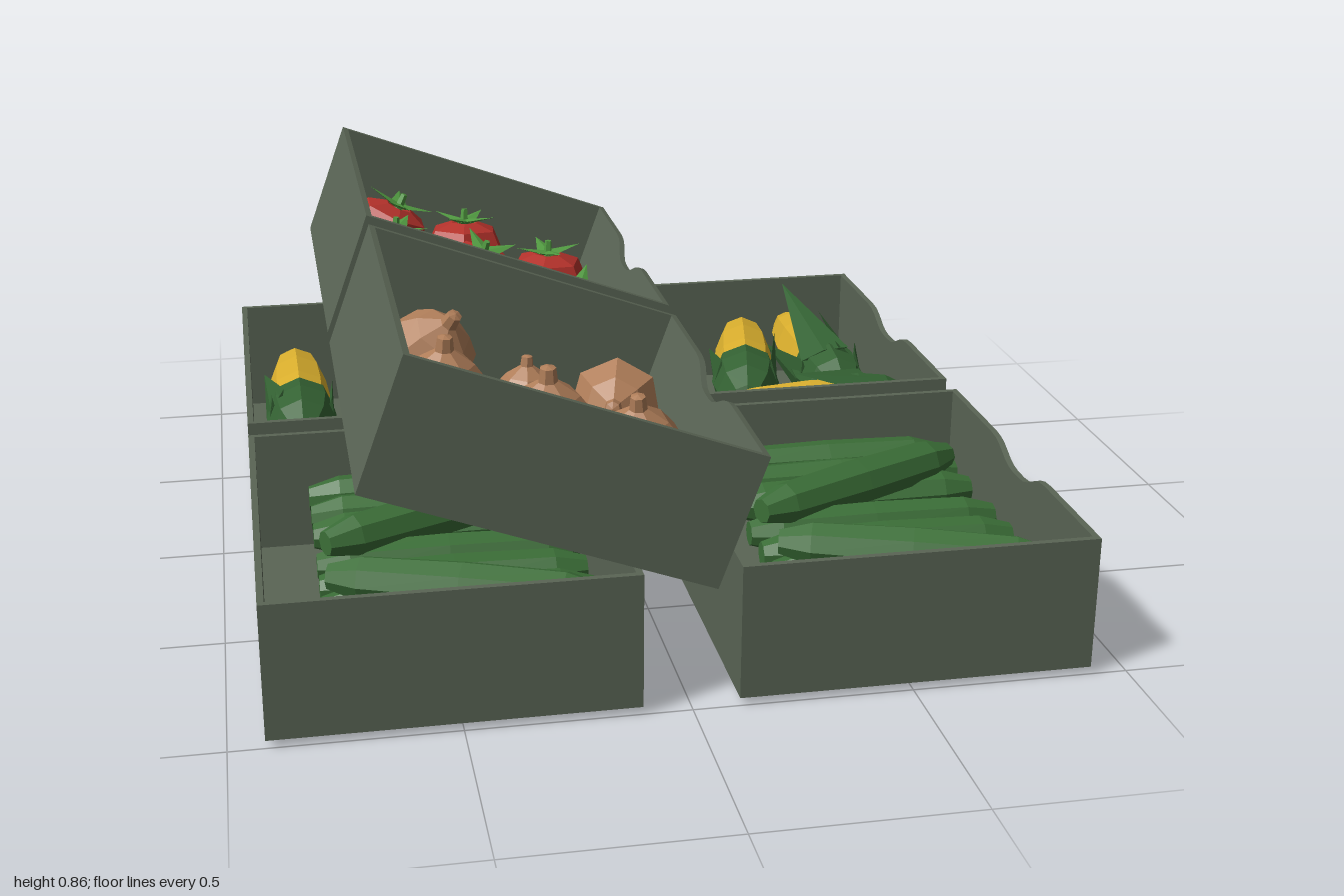
import * as THREE from 'three';

const W = 0.81, H = 0.315, D = 0.96, T = 0.015; // crate size and wall thickness

const paint = (name, color) => {
  const m = new THREE.MeshStandardMaterial({ color });
  m.name = name;
  return m;
};

// faceted shading: every triangle gets its own normal
const facet = (geo) => {
  const g = geo.index ? geo.toNonIndexed() : geo;
  g.computeVertexNormals();
  return g;
};

const lathe = (profile, sides) =>
  facet(new THREE.LatheGeometry(profile.map(([r, y]) => new THREE.Vector2(r, y)), sides));

export function createModel() {
  const mat = {
    crate: paint('crateGreen', 0x5a6555),
    white: paint('labelWhite', 0xcbcbcb),
    blue: paint('labelBlue', 0x3583a6),
    maroon: paint('tagMaroon', 0x6e302e),
    tomato: paint('tomatoRed', 0xb4322b),
    stem: paint('stemGreen', 0x519a41),
    corn: paint('cornYellow', 0xd9ae2d),
    husk: paint('huskGreen', 0x346233),
    cucumber: paint('cucumberGreen', 0x3b6e37),
    onion: paint('onionBrown', 0xb07e59),
  };

  const add = (parent, name, geo, material, x = 0, y = 0, z = 0) => {
    const mesh = new THREE.Mesh(geo, material);
    mesh.name = name;
    mesh.position.set(x, y, z);
    parent.add(mesh);
    return mesh;
  };
  const group = (parent, name, x = 0, y = 0, z = 0) => {
    const g = new THREE.Group();
    g.name = name;
    g.position.set(x, y, z);
    parent.add(g);
    return g;
  };

  // end wall with a scooped rim
  const dip = new THREE.Shape();
  dip.moveTo(-D / 2, 0);
  dip.lineTo(D / 2, 0);
  dip.lineTo(D / 2, H);
  dip.lineTo(0.18, H);
  dip.bezierCurveTo(0.1, H, 0.09, H - 0.045, 0.02, H - 0.045);
  dip.lineTo(-0.02, H - 0.045);
  dip.bezierCurveTo(-0.09, H - 0.045, -0.1, H, -0.18, H);
  dip.lineTo(-D / 2, H);
  const scoopedWall = new THREE.ExtrudeGeometry(dip, { depth: T, bevelEnabled: false, curveSegments: 6 });
  scoopedWall.rotateY(Math.PI / 2);

  // slanted white band on the label
  const slant = new THREE.Shape([[-0.055, -0.0575], [0.005, -0.0575], [0.055, 0.0575], [-0.012, 0.0575]]
    .map(([x, y]) => new THREE.Vector2(x, y)));
  const band = new THREE.ExtrudeGeometry(slant, { depth: 0.008, bevelEnabled: false });
  band.rotateY(Math.PI / 2);

  // crate with label and two tags; side is +1 or -1 and mirrors the end plates
  const addCrate = (parent, side, innerTag, outerTag) => {
    add(parent, 'crateFloor', new THREE.BoxGeometry(W, T, D), mat.crate, 0, T / 2, 0);
    add(parent, 'crateBackWall', new THREE.BoxGeometry(T, H, D), mat.crate, -W / 2 + T / 2, H / 2, 0);
    for (const s of [-1, 1]) {
      add(parent, 'crateSideWall', new THREE.BoxGeometry(W - T, H, T), mat.crate, -T / 2, H / 2, s * (D - T) / 2);
    }
    add(parent, 'crateScoopedWall', scoopedWall, mat.crate, W / 2 - T, 0, 0);
    const x = W / 2;
    add(parent, 'label', new THREE.BoxGeometry(0.006, 0.115, 0.21), mat.blue, x + 0.003, 0.2025, -0.33 * side);
    add(parent, 'labelBand', band, mat.white, x, 0.2025, -0.33 * side);
    const tag = new THREE.BoxGeometry(0.006, 0.11, 0.1);
    add(parent, 'innerTag', tag, innerTag, x + 0.003, 0.095, 0.24 * side);
    add(parent, 'outerTag', tag, outerTag, x + 0.003, 0.095, 0.39 * side);
  };

  // corn cob along +y with a husk cup and splayed leaves
  const cob = lathe([[0, 0.1], [0.08, 0.16], [0.086, 0.3], [0.08, 0.44], [0.062, 0.56], [0.035, 0.64], [0, 0.67]], 8);
  const cup = lathe([[0, 0], [0.045, 0.015], [0.082, 0.08], [0.095, 0.16], [0.09, 0.23], [0.07, 0.23]], 8);
  const leafGeo = (angle, along, out) => {
    const up = along - 0.14, side = out - 0.075, len = Math.hypot(up, side);
    const g = new THREE.ConeGeometry(0.07, len, 4);
    g.translate(0, len / 2, 0);
    g.scale(1, 1, 0.2);
    g.rotateX(Math.atan2(side, up));
    g.translate(0, 0.14, 0.075);
    g.rotateY(angle);
    return facet(g);
  };
  const addCorn = (parent, x, y, z, turn, leaves) => {
    const g = group(parent, 'corn', x, y, z);
    g.rotation.set(-Math.PI / 2, turn, 0, 'YXZ');
    add(g, 'cornCob', cob, mat.corn);
    add(g, 'cornHusk', cup, mat.husk);
    for (const l of leaves) add(g, 'cornLeaf', leafGeo(...l), mat.husk);
  };
  const fillCorn = (parent) => {
    addCorn(parent, -0.26, 0.16, 0.21, 0, [[1.7, 0.47, 0.1], [-1.6, 0.44, 0.085], [Math.PI, 0.31, 0.178], [-1.2, 0.42, 0.1]]);
    addCorn(parent, -0.07, 0.18, 0.21, -0.21, [[1.5, 0.58, 0.1], [-1.5, 0.43, 0.1], [2.9, 0.45, 0.12]]);
    addCorn(parent, 0.21, 0.18, 0.2, 0, [[-0.25, 0.54, 0.165], [1.5, 0.4, 0.15], [-1.7, 0.5, 0.1], [0.9, 0.55, 0.1]]);
    addCorn(parent, 0.38, 0.18, 0.275, 1.64, [[-1.5, 0.52, 0.12], [1.6, 0.48, 0.1], [-0.2, 0.35, 0.12]]);
  };

  // cucumbers: a row on the floor and two laid across
  const cuke = lathe([[0, -0.305], [0.03, -0.305], [0.052, -0.23], [0.057, 0], [0.052, 0.23], [0.03, 0.305], [0, 0.305]], 8);
  cuke.rotateZ(Math.PI / 2);
  const fillCucumbers = (parent) => {
    for (const z of [-0.42, -0.3, -0.19, -0.02, 0.1, 0.21, 0.39]) {
      add(parent, 'cucumber', cuke, mat.cucumber, 0.04, 0.16, z).rotation.x = z * 5;
    }
    add(parent, 'crossedCucumber', cuke, mat.cucumber, 0.03, 0.23, -0.12).rotation.y = 0.45;
    add(parent, 'crossedCucumber', cuke, mat.cucumber, 0.04, 0.23, 0.29).rotation.y = -0.35;
  };

  // tomatoes with a four-pointed leafy star
  const tomato = lathe([[0, -0.11], [0.07, -0.105], [0.118, -0.04], [0.124, 0.02], [0.095, 0.08], [0.04, 0.1], [0, 0.09]], 6);
  const sepal = new THREE.ConeGeometry(0.032, 0.1, 4);
  sepal.translate(0, 0.05, 0);
  sepal.scale(1, 1, 0.25);
  sepal.rotateX(1.35);
  const sepalGeo = facet(sepal);
  const stalk = facet(new THREE.CylinderGeometry(0.009, 0.013, 0.045, 5));
  // columns are world x, z and the lean about x and z
  const toCrate = (x) => (x + 0.68) / 0.94 - W / 2;
  const fillTomatoes = (parent) => {
    const spots = [
      [-0.51, -0.78, 0, -0.1], [-0.28, -0.84, -0.1, 0.3], [-0.05, -0.77, 0, 0.3],
      [-0.51, -0.5, 0, 0.25], [-0.28, -0.57, 0.25, 0.1], [-0.03, -0.5, 0.4, 0.1],
      [-0.51, -0.23, 0, 0.25], [-0.28, -0.23, 0, 0.15], [-0.05, -0.23, 0, 0.3],
    ];
    spots.forEach(([x, z, rx, rz], i) => {
      const g = group(parent, 'tomato', toCrate(x), 0.09, z + 0.52);
      g.rotation.set(rx, i * 0.9, rz, 'XZY');
      add(g, 'tomatoBody', tomato, mat.tomato);
      add(g, 'tomatoStalk', stalk, mat.stem, 0, 0.115, 0);
      for (let k = 0; k < 4; k++) {
        add(g, 'tomatoSepal', sepalGeo, mat.stem, 0, 0.1, 0).rotation.y = k * Math.PI / 2;
      }
    });
  };

  // onions with a pinched neck
  const onion = lathe([[0, -0.095], [0.05, -0.085], [0.105, -0.025], [0.113, 0.02], [0.07, 0.075], [0.022, 0.108], [0.018, 0.14], [0, 0.145]], 7);
  const fillOnions = (parent) => {
    const spots = [
      [-0.49, 0.25, 0.5, -0.1, 1], [-0.26, 0.3, 0, 0.3, 0.72], [-0.04, 0.24, 1.4, 0.3, 1],
      [-0.49, 0.54, 0.1, 0.3, 1], [-0.26, 0.58, 0.1, 0.35, 1.05], [-0.04, 0.54, 0.2, 0.4, 1],
      [-0.49, 0.83, 0, 0.15, 0.95], [-0.26, 0.83, -0.4, -0.1, 1.03], [-0.04, 0.83, 0, 0.35, 1],
    ];
    spots.forEach(([x, z, rx, rz, s], i) => {
      const m = add(parent, 'onion', onion, mat.onion, toCrate(x), 0.015 + 0.095 * s, z - 0.52);
      m.rotation.set(rx, i * 0.8, rz, 'XZY');
      m.scale.setScalar(s);
    });
  };

  const model = new THREE.Group();
  model.name = 'vegetableCrates';

  // four crates on the ground
  for (const x of [-0.515, 0.51]) {
    const cucumbers = group(model, 'cucumberCrate', x, 0.02, 0.52);
    addCrate(cucumbers, 1, mat.white, mat.crate);
    fillCucumbers(cucumbers);
    const corn = group(model, 'cornCrate', x, 0.02, -0.52);
    addCrate(corn, -1, mat.maroon, mat.crate);
    fillCorn(corn);
  }

  // two crates tilted on top
  const tilt = -20 * Math.PI / 180;
  const onions = group(model, 'onionCrate', -0.329, 0.4265, 0.52);
  addCrate(onions, 1, mat.white, mat.maroon);
  fillOnions(onions);
  const tomatoes = group(model, 'tomatoCrate', -0.329, 0.4265, -0.52);
  addCrate(tomatoes, -1, mat.maroon, mat.crate);
  fillTomatoes(tomatoes);
  onions.rotation.z = tomatoes.rotation.z = tilt;

  return model;
}
